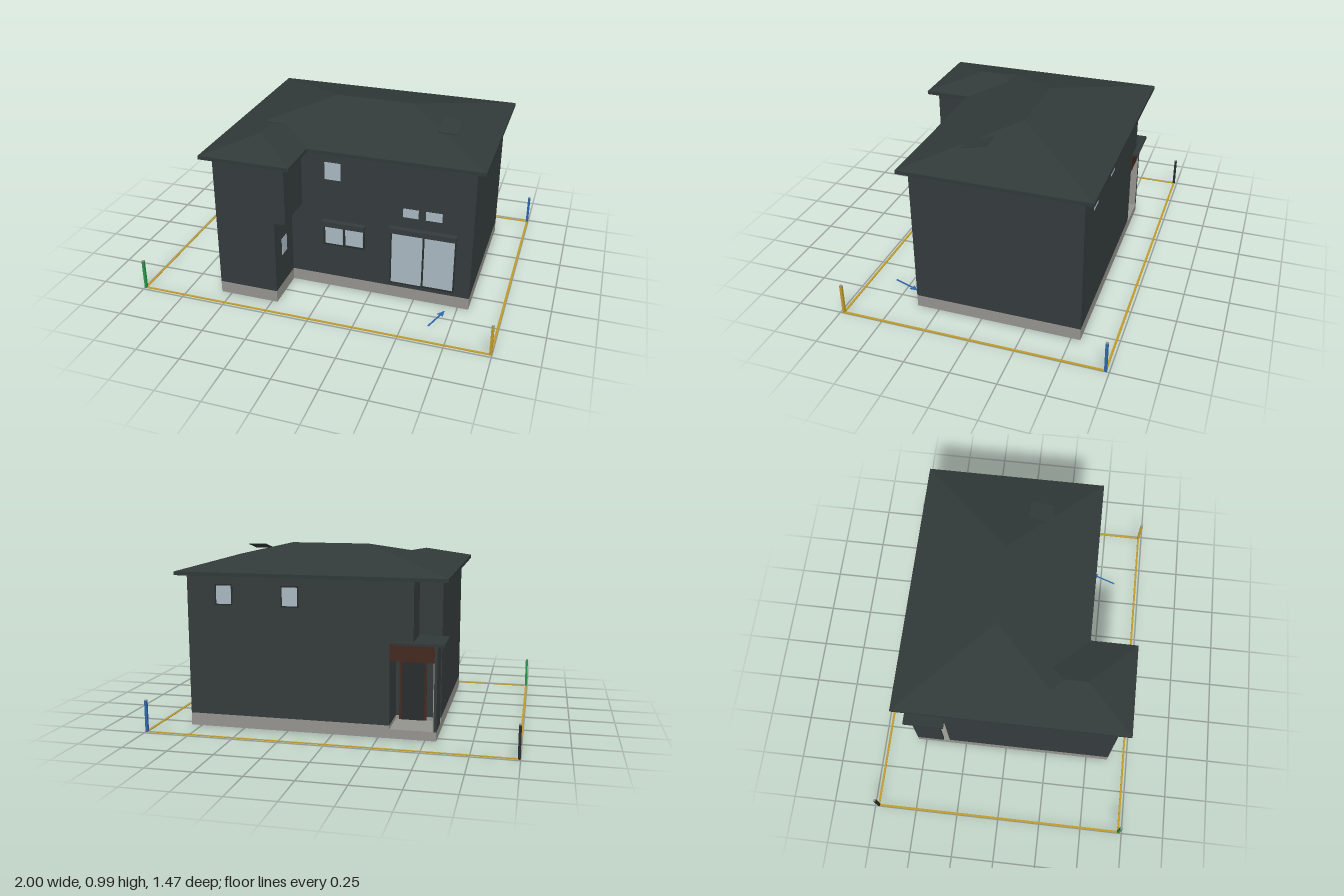
import * as THREE from 'three';

const mat = (name, color) => {
  const m = new THREE.MeshStandardMaterial({ color });
  m.name = name;
  return m;
};

export function createModel() {
  const wall = mat('dark wall', 0x353c3d);
  const roof = mat('roof', 0x313a39);
  const concrete = mat('concrete', 0x95948f);
  const glass = mat('window glass', 0xaab9c3);
  const frame = mat('dark frame', 0x282d2d);
  const wood = mat('brown wood', 0x452a20);
  const yellow = mat('boundary yellow', 0xc09c2a);
  const green = mat('marker green', 0x2a964c);
  const blue = mat('marker blue', 0x2f66b0);

  const model = new THREE.Group();
  model.name = 'house';
  const add = (name, geo, material, parent = model) => {
    const m = new THREE.Mesh(geo, material);
    m.name = name;
    parent.add(m);
    return m;
  };
  // Box given by its limits on each axis
  const box = (name, material, x0, x1, y0, y1, z0, z1, parent) =>
    add(name, new THREE.BoxGeometry(x1 - x0, y1 - y0, z1 - z0)
      .translate((x0 + x1) / 2, (y0 + y1) / 2, (z0 + z1) / 2), material, parent);

  // Vertical prism over an [x, z] outline, optionally with a hole
  const vectors = (pts) => pts.map(([x, z]) => new THREE.Vector2(x, -z));
  const prism = (name, material, pts, y0, y1, hole) => {
    const shape = new THREE.Shape(vectors(pts));
    if (hole) shape.holes.push(new THREE.Path(vectors(hole).reverse()));
    const geo = new THREE.ExtrudeGeometry(shape, { depth: y1 - y0, bevelEnabled: false });
    return add(name, geo.rotateX(-Math.PI / 2).translate(0, y0, 0), material);
  };
  // Move every corner of a right-angled outline inwards
  const inset = (pts, d) => pts.map(([x, z], i) => {
    const [px, pz] = pts[(i + pts.length - 1) % pts.length];
    const [nx, nz] = pts[(i + 1) % pts.length];
    return [x - d * (Math.sign(z - pz) + Math.sign(nz - z)),
      z + d * (Math.sign(x - px) + Math.sign(nx - x))];
  });

  // Foundation ring, floor and two storeys
  const lower = [[-0.56, -0.35], [-0.31, -0.35], [-0.31, -0.55], [0.81, -0.55],
    [0.81, 0.375], [-0.22, 0.375], [-0.22, 0.63], [-0.56, 0.63]];
  const upper = [[-0.56, -0.35], [-0.434, -0.35], [-0.434, -0.55], [0.81, -0.55],
    [0.81, 0.375], [-0.155, 0.375], [-0.155, 0.63], [-0.56, 0.63]];
  prism('foundation', concrete, lower, 0, 0.07, inset(lower, 0.03));
  prism('floorUnderside', wood, inset(lower, 0.03), 0.045, 0.07);
  prism('lowerWalls', wall, lower, 0.07, 0.51);
  prism('upperWalls', wall, upper, 0.51, 0.85);
  box('overhangTrim', wall, -0.22, -0.165, 0.495, 0.51, 0.375, 0.62);

  // Hip roof with an eave band; the ridge follows the longer side
  const hipRoof = (name, x0, x1, z0, z1, y0, y1, slope) => {
    const w = x1 - x0, d = z1 - z0, h = Math.min(w, d) / 2;
    const wide = w > d, top = y1 + h * slope;
    const corners = [[x0, z1], [x1, z1], [x1, z0], [x0, z0]];
    const v = [];
    for (const y of [y0, y1]) for (const [x, z] of corners) v.push(x, y, z);
    v.push(x0 + h, top, z0 + h, x1 - h, top, z1 - h);
    const f = [0, 2, 1, 0, 3, 2];
    for (let i = 0; i < 4; i++) {
      const j = (i + 1) % 4;
      f.push(i, j, j + 4, i, j + 4, i + 4);
    }
    if (wide) f.push(4, 5, 9, 4, 9, 8, 5, 6, 9, 6, 7, 8, 6, 8, 9, 7, 4, 8);
    else f.push(4, 5, 9, 5, 6, 8, 5, 8, 9, 6, 7, 8, 7, 4, 9, 7, 9, 8);
    let geo = new THREE.BufferGeometry();
    geo.setAttribute('position', new THREE.Float32BufferAttribute(v, 3));
    geo.setIndex(f);
    geo = geo.toNonIndexed();
    geo.computeVertexNormals();
    return add(name, geo, roof);
  };
  const slope = 0.244;
  hipRoof('mainRoof', -0.615, 0.86, -0.605, 0.42, 0.845, 0.865, slope);
  hipRoof('wingRoof', -0.615, -0.105, 0.04, 0.68, 0.845, 0.865, slope);
  const hatch = add('roofPanel', new THREE.BoxGeometry(0.11, 0.004, 0.139), roof);
  hatch.position.set(0.6, 0.951, 0.078);
  hatch.rotation.x = Math.atan(slope);

  // Window lying almost flush with its wall, facing +z; panes are [x0, x1] pairs
  const windowUnit = (name, panes, y0, y1, x, z, turn, rim, rimMaterial) => {
    const g = new THREE.Group();
    g.name = name;
    const a = panes[0][0], b = panes[panes.length - 1][1];
    box('frame', rimMaterial, a - rim, b + rim, y0 - rim, y1 + rim, -0.003, 0.002, g);
    panes.forEach(([p, q], i) =>
      box('pane', glass, p, q, y0 + i * 0.004, y1 - i * 0.008, 0, 0.004, g));
    g.position.set(x, 0, z);
    g.rotation.y = turn;
    model.add(g);
  };
  const fz = 0.375;
  windowUnit('upperFrontWindow', [[-0.02, 0.072]], 0.68, 0.782, 0, fz, 0, 0.004, wall);
  windowUnit('smallFrontWindowA', [[0.425, 0.51]], 0.52, 0.572, 0, fz, 0, 0.004, wall);
  windowUnit('smallFrontWindowB', [[0.55, 0.64]], 0.52, 0.572, 0, fz, 0, 0.004, wall);
  windowUnit('frontWindow', [[-0.02, 0.083], [0.098, 0.2]], 0.28, 0.39, 0, fz, 0, 0.011, frame);
  windowUnit('patioDoor', [[0.366, 0.538], [0.549, 0.715]], 0.1, 0.416, 0, fz, 0, 0.009, frame);
  box('frontWindowShutterBox', wall, -0.033, 0.215, 0.4, 0.43, fz, 0.408);
  box('patioShutterBox', wall, 0.355, 0.727, 0.425, 0.455, fz, 0.408);
  windowUnit('wingSideWindow', [[-0.035, 0.035]], 0.255, 0.355, -0.22, 0.505, Math.PI / 2, 0.004, wall);
  for (const x of [0.23, 0.6])
    windowUnit('backWindow', [[-0.042, 0.042]], 0.69, 0.79, x, -0.55, Math.PI, 0.008, frame);

  // Recessed corner porch with canopy, side wall and door
  box('porchFloor', concrete, -0.56, -0.25, 0, 0.05, -0.55, -0.3);
  box('porchFascia', wood, -0.545, -0.31, 0.42, 0.512, -0.553, -0.349);
  box('porchCanopy', roof, -0.6, -0.33, 0.512, 0.525, -0.582, -0.35);
  box('porchSideWall', wall, -0.56, -0.545, 0.05, 0.513, -0.55, -0.39);
  box('porchSideLining', concrete, -0.546, -0.54, 0.05, 0.42, -0.548, -0.392);
  box('doorSurround', wood, -0.48, -0.33, 0.05, 0.42, -0.356, -0.349);
  box('frontDoor', frame, -0.468, -0.342, 0.05, 0.405, -0.358, -0.349);

  // Plot boundary lines and corner markers
  const bx = 0.993, bz = 0.73, t = 0.007;
  for (const s of [-1, 1]) {
    box('boundaryLine', yellow, -bx, bx, 0, 0.004, s * bz - 0.006, s * bz + 0.006);
    box('boundaryLine', yellow, s * bx - 0.006, s * bx + 0.006, 0, 0.004, -bz, bz);
  }
  for (const [x, z, m] of [[1, 1, yellow], [-1, 1, green], [1, -1, blue], [-1, -1, frame]]) {
    const px = x * bx, pz = z * bz;
    box('cornerMarker', m, px - t, px + t, 0, 0.175, pz - t, pz + t);
    box('cornerMarkerCap', concrete, px - t, px + t, 0.175, 0.18, pz - t, pz + t);
  }

  // Flat arrow on the ground: tip at the origin, pointing along -z
  const arrow = prism('groundArrow', blue, [[0, 0], [0.018, 0.05], [0.004, 0.045],
    [0.004, 0.17], [-0.004, 0.17], [-0.004, 0.045], [-0.018, 0.05]], 0, 0.004);
  arrow.position.set(0.69, 0, 0.43);
  arrow.rotation.y = -0.33;

  return model;
}
